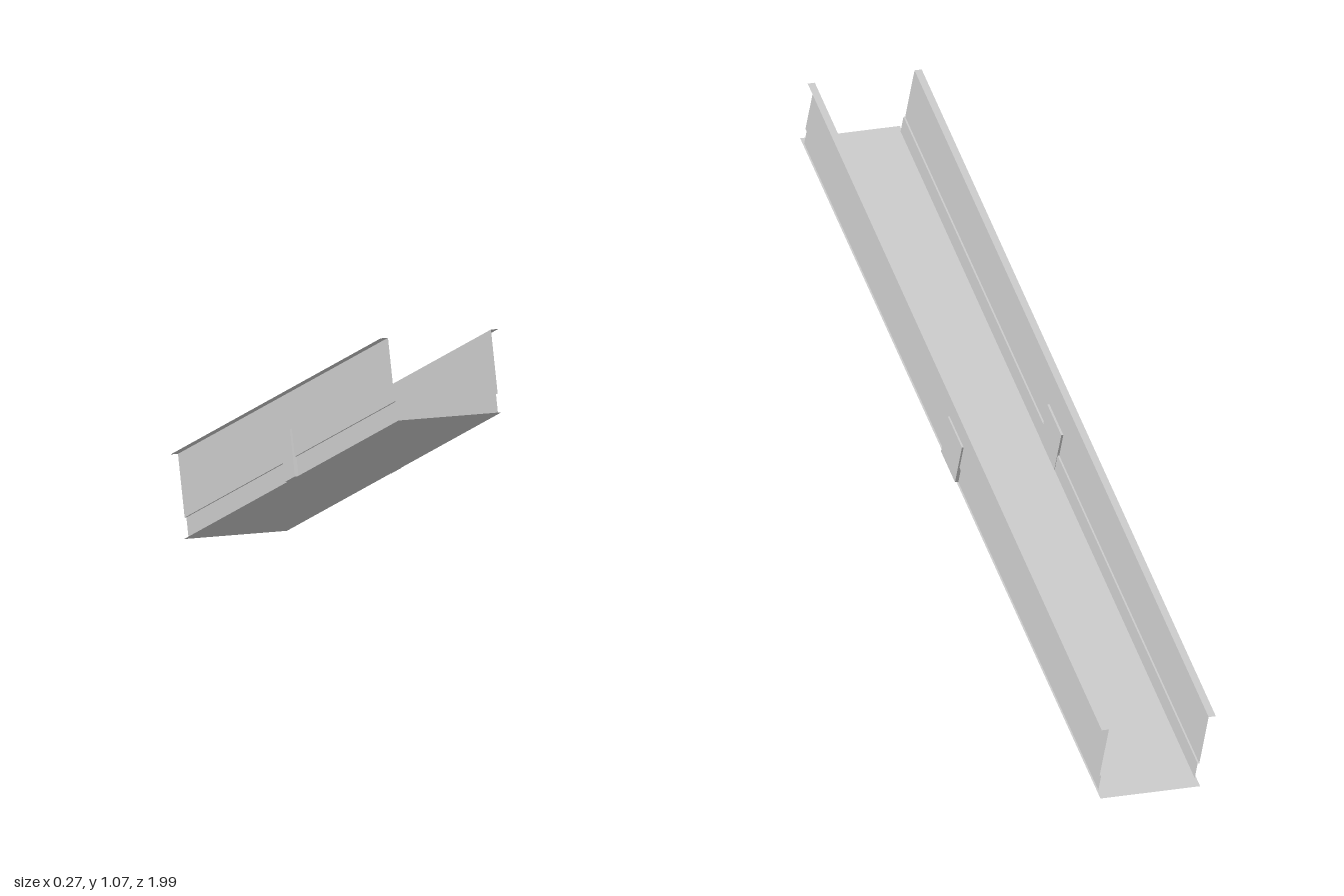
import * as THREE from 'three';

const material = new THREE.MeshStandardMaterial({ color: 0xcccccc, side: THREE.DoubleSide, flatShading: true });

function addMesh(parent, name, geometry) {
  const mesh = new THREE.Mesh(geometry, material);
  mesh.name = name;
  parent.add(mesh);
  return mesh;
}

// Folded sheet: an open x/y profile swept along z
function foldedSheet(profile, zBack, zFront) {
  const positions = [];
  for (let i = 0; i < profile.length - 1; i++) {
    const [x0, y0] = profile[i];
    const [x1, y1] = profile[i + 1];
    positions.push(x0, y0, zBack, x1, y1, zBack, x1, y1, zFront);
    positions.push(x0, y0, zBack, x1, y1, zFront, x0, y0, zFront);
  }
  const geometry = new THREE.BufferGeometry();
  geometry.setAttribute('position', new THREE.Float32BufferAttribute(positions, 3));
  geometry.computeVertexNormals();
  return geometry;
}

export function createModel() {
  const model = new THREE.Group();
  model.name = 'slopingChannel';

  // The channel is built level, then tilted so that its front end is high
  const channel = new THREE.Group();
  channel.name = 'channel';
  channel.rotation.x = -Math.atan2(0.905, 1.94);
  channel.position.set(0, 0.4525, 0.025);
  model.add(channel);

  // Floor sheet, slightly longer than the walls
  addMesh(channel, 'floor', foldedSheet([[-0.118, 0], [0.118, 0]], -1.07, 1.07));

  for (const [side, s] of [['left', 1], ['right', -1]]) {
    // Wall: low inner strip, small step, tall web and outward rim
    const profile = [[0.114, 0], [0.114, 0.045], [0.118, 0.045], [0.118, 0.188], [0.135, 0.188]];
    addMesh(channel, side + 'Wall', foldedSheet(profile.map(([x, y]) => [s * x, y]), -1.043, 1.053));

    // Joint clip halfway along the wall
    const clip = addMesh(channel, side + 'Clip', new THREE.BoxGeometry(0.009, 0.107, 0.1));
    clip.position.set(s * 0.1175, 0.0545, 0.005);
  }

  // Tiny twig lying on the floor
  const twig = new THREE.Group();
  twig.name = 'twig';
  twig.position.set(0.093, 0.016, 0.12);
  channel.add(twig);
  for (const [length, tilt, turn, z] of [[0.05, 0.4, 0, 0], [0.02, 0.2, 1.1, 0.008], [0.018, -0.3, -0.9, -0.008]]) {
    const rod = addMesh(twig, 'twigRod', new THREE.BoxGeometry(0.002, 0.002, length));
    rod.rotation.set(tilt, turn, 0);
    rod.position.z = z;
  }
  return model;
}
